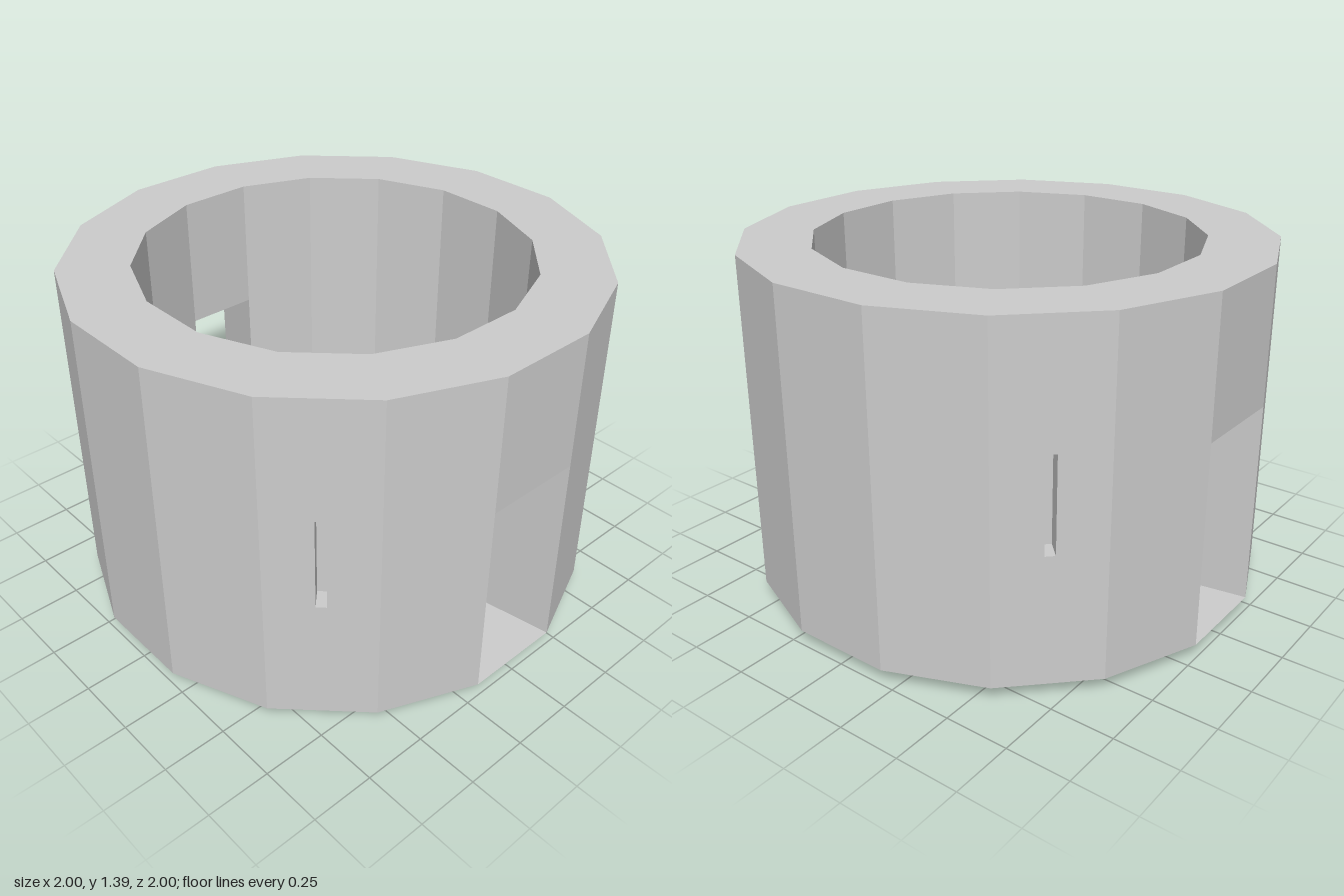
import * as THREE from 'three';
import { mergeGeometries } from 'three/addons/utils/BufferGeometryUtils.js';

const SIDES = 16, STEP = (Math.PI * 2) / SIDES;
const OUT = 1 / Math.cos(STEP / 2), INN = 0.735 / Math.cos(STEP / 2); // corner radii
const BASE = 0.06, TOP = 1.39, DOOR = 0.86, SILL = 0.067;
const SLIT = { w: 0.019, y0: 0.56, y1: 0.925, depth: 0.08 };

// Point on a corner circle: a counts counter-clockwise seen from above
const p = (r, a, y) => [r * Math.cos(a), y, -r * Math.sin(a)];

// Flat four-cornered face, corners counter-clockwise seen from its front
function quad(a, b, c, d) {
  const g = new THREE.BufferGeometry();
  g.setAttribute('position', new THREE.Float32BufferAttribute([a, b, c, a, c, d].flat(), 3));
  g.computeVertexNormals();
  return g;
}

// Horizontal regular polygon outline
function outline(r, Kind) {
  const pts = [];
  for (let i = 0; i < SIDES; i++) {
    const a = (i + 0.5) * STEP;
    pts.push(new THREE.Vector2(r * Math.cos(a), r * Math.sin(a)));
  }
  return new Kind(pts);
}

// Outer facet with a slit opening, facing +z before it is turned into place
function slitFacet() {
  const h = Math.tan(STEP / 2), { w, y0, y1 } = SLIT;
  const v = (x, y) => new THREE.Vector2(x, y);
  const s = new THREE.Shape([v(-h, BASE), v(h, BASE), v(h, TOP), v(-h, TOP)]);
  s.holes.push(new THREE.Path([v(-w, y0), v(-w, y1), v(w, y1), v(w, y0)]));
  const g = new THREE.ShapeGeometry(s).toNonIndexed().translate(0, 0, 1);
  g.deleteAttribute('uv');
  return g;
}

// Blind pocket behind a slit
function slitPocket() {
  const { w, y0, y1, depth } = SLIT, f = 1, b = 1 - depth;
  return mergeGeometries([
    quad([-w, y0, b], [w, y0, b], [w, y1, b], [-w, y1, b]),
    quad([-w, y0, f], [-w, y0, b], [-w, y1, b], [-w, y1, f]),
    quad([w, y0, b], [w, y0, f], [w, y1, f], [w, y1, b]),
    quad([-w, y0, f], [w, y0, f], [w, y0, b], [-w, y0, b]),
    quad([-w, y1, b], [w, y1, b], [w, y1, f], [-w, y1, f]),
  ]);
}

export function createModel() {
  const model = new THREE.Group();
  model.name = 'roundTower';
  const grey = new THREE.MeshStandardMaterial({ color: 0xcccccc, side: THREE.DoubleSide });
  grey.name = 'grey';
  const add = (name, geometry) => {
    const mesh = new THREE.Mesh(geometry, grey);
    mesh.name = name;
    model.add(mesh);
  };

  const outer = [], inner = [];
  for (let i = 0; i < SIDES; i++) {
    const a = i * STEP, a0 = a - STEP / 2, a1 = a + STEP / 2;
    const door = i % 8 === 0, slit = i % 4 === 2;

    // Wall facets; those above the doorways start at the lintel
    if (slit) {
      outer.push(slitFacet().rotateY(Math.PI / 2 + a));
      add('slitPocket', slitPocket().rotateY(Math.PI / 2 + a));
    } else {
      const y = door ? DOOR : BASE;
      outer.push(quad(p(OUT, a0, y), p(OUT, a1, y), p(OUT, a1, TOP), p(OUT, a0, TOP)));
    }
    const yi = door ? DOOR : 0;
    inner.push(quad(p(INN, a1, yi), p(INN, a0, yi), p(INN, a0, TOP), p(INN, a1, TOP)));

    // Doorway tunnel: two jambs, lintel and sill
    if (door) {
      add('doorway', mergeGeometries([
        quad(p(OUT, a0, BASE), p(INN, a0, SILL), p(INN, a0, DOOR), p(OUT, a0, DOOR)),
        quad(p(INN, a1, SILL), p(OUT, a1, BASE), p(OUT, a1, DOOR), p(INN, a1, DOOR)),
        quad(p(OUT, a0, DOOR), p(INN, a0, DOOR), p(INN, a1, DOOR), p(OUT, a1, DOOR)),
        quad(p(OUT, a0, BASE), p(OUT, a1, BASE), p(INN, a1, SILL), p(INN, a0, SILL)),
      ]));
    }
  }
  add('outerWall', mergeGeometries(outer));
  add('innerWall', mergeGeometries(inner));

  // Flat rim on top of the hollow wall
  const rim = outline(OUT, THREE.Shape);
  rim.holes.push(outline(INN, THREE.Path));
  add('topRim', new THREE.ShapeGeometry(rim).rotateX(-Math.PI / 2).translate(0, TOP, 0));

  // Floor plate closing the inner wall
  add('floor', new THREE.ShapeGeometry(outline(INN, THREE.Shape)).rotateX(-Math.PI / 2));

  return model;
}
